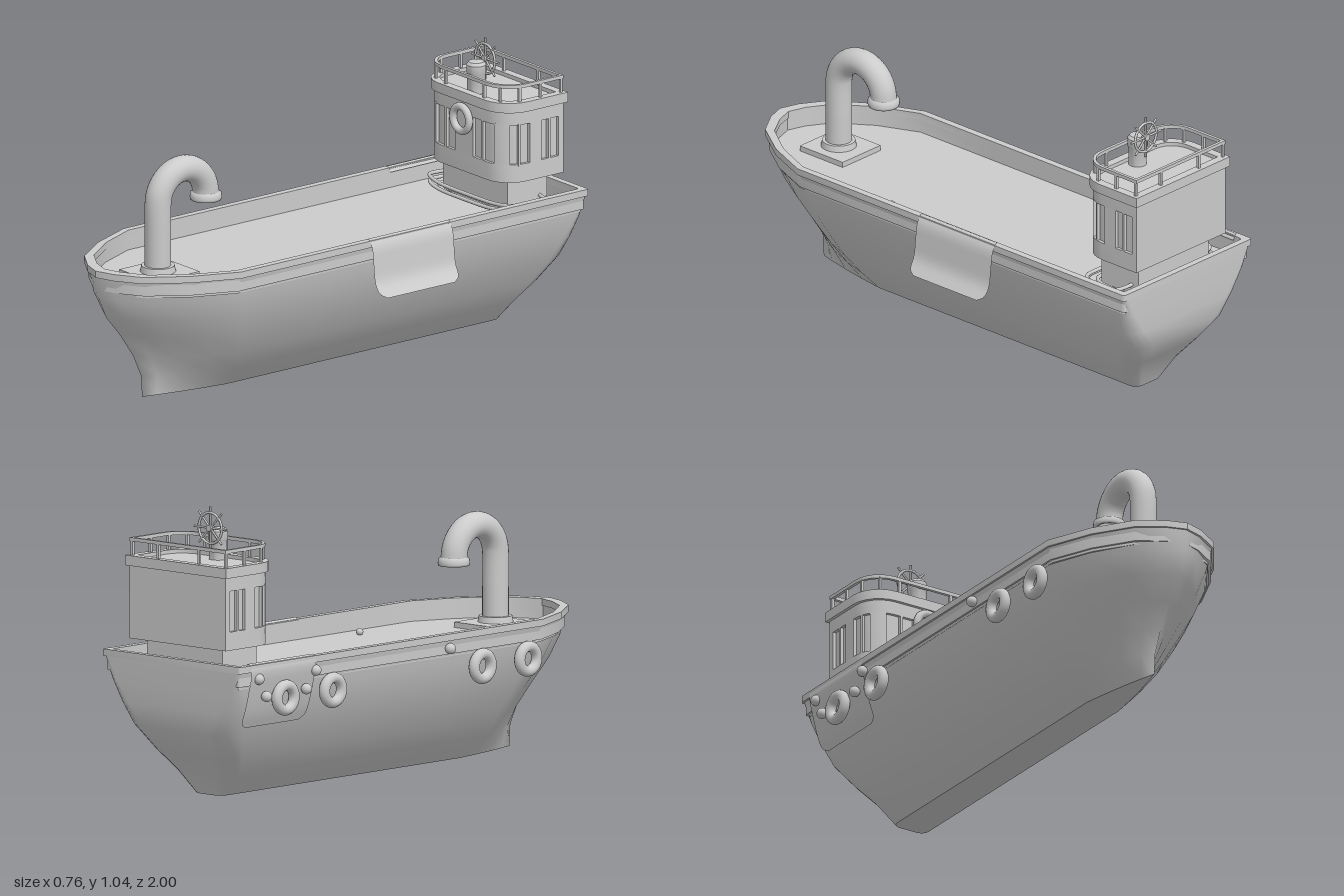
import * as THREE from 'three';
import { toCreasedNormals } from 'three/addons/utils/BufferGeometryUtils.js';

const CX = -0.022; // centreline of the hull
const DECK = 0.44;
const grey = new THREE.MeshStandardMaterial({ color: 0xcccccc });
const thin = new THREE.MeshStandardMaterial({ color: 0xcccccc, side: THREE.DoubleSide });

function add(parent, name, geo, x = 0, y = 0, z = 0, mat = grey) {
  const m = new THREE.Mesh(geo, mat);
  m.name = name;
  m.position.set(x, y, z);
  parent.add(m);
  return m;
}

// Horizontal slab from [x, z] points, with an optional hole
function slab(pts, y0, y1, hole) {
  const toV = (p) => p.map(([x, z]) => new THREE.Vector2(x, -z));
  const shape = new THREE.Shape(toV(pts));
  if (hole) shape.holes.push(new THREE.Path(toV(hole)));
  const g = new THREE.ExtrudeGeometry(shape, { depth: y1 - y0, bevelEnabled: false });
  g.rotateX(-Math.PI / 2).translate(0, y0, 0);
  return toCreasedNormals(g, 0.5);
}

function tube(points, r, closed = false, seg = 64) {
  const c = new THREE.CatmullRomCurve3(points, closed, 'centripetal');
  return new THREE.TubeGeometry(c, seg, r, 10, closed);
}

// Waterline at one level: bow, +x side, stern, -x side
const BOW = [[0, 1], [0.22, 0.94], [0.5, 0.79], [0.79, 0.43], [1, 0]];
function waterline({ w, bow, stern, shoulder, r }, sharp = 0) {
  const half = BOW.map(([f, t]) => [f * w, shoulder + (bow - shoulder) * THREE.MathUtils.lerp(t, 1 - f, sharp)]);
  for (const k of [0.25, 0.5, 0.75]) half.push([w, THREE.MathUtils.lerp(shoulder, stern + r, k)]);
  const rx = Math.min(r, w * 0.6);
  for (let k = 0; k <= 4; k++) {
    const a = (k / 4) * Math.PI / 2;
    half.push([w - rx + rx * Math.cos(a), stern + r - r * Math.sin(a)]);
  }
  const mirror = half.slice(1).reverse().map(([x, z]) => [-x, z]);
  return [...half, ...mirror].map(([x, z]) => [x + CX, z]);
}

// y, half width, bow z, stern z, stern corner radius
const LEVELS = [
  [0, 0.068, 0.785, -0.81, 0.03], [0.08, 0.14, 0.79, -0.85, 0.06], [0.16, 0.2, 0.825, -0.915, 0.08],
  [0.25, 0.25, 0.885, -0.98, 0.09], [0.33, 0.288, 0.95, -0.99, 0.07], [0.41, 0.313, 0.985, -0.995, 0.04],
  [0.5, 0.332, 0.993, -0.998, 0.012],
];

function hullGeometry() {
  const pos = [], idx = [];
  const rings = LEVELS.map(([y, w, bow, stern, r]) =>
    waterline({ w, bow, stern, r, shoulder: 0.45 + 0.3 * y }, 0.7 * (1 - y / 0.5)));
  const n = rings[0].length;
  rings.forEach((ring, j) => ring.forEach(([x, z], i) => {
    pos.push(x, LEVELS[j][0], z);
    if (j === rings.length - 1) return;
    const a = j * n + i, b = j * n + (i + 1) % n;
    idx.push(a, b, a + n, b, b + n, a + n);
  }));
  const g = new THREE.BufferGeometry();
  g.setAttribute('position', new THREE.Float32BufferAttribute(pos, 3));
  g.setIndex(idx);
  g.computeVertexNormals();
  return { g, keel: slab(rings[0], 0, 0.002) };
}

// Sheet hung over the rim: a profile in x, y swept along z with rounded lower corners
function drape(profile, z0, z1) {
  const c = new THREE.CatmullRomCurve3(profile.map(([x, y]) => new THREE.Vector3(x, y, 0)));
  const g = new THREE.PlaneGeometry(1, 1, 16, 20);
  const p = g.attributes.position;
  for (let i = 0; i < p.count; i++) {
    const v = 0.5 - p.getY(i), q = c.getPoint(v);
    const k = Math.max(0, (v - 0.85) / 0.15);
    const len = (z1 - z0) - 0.06 * (1 - Math.sqrt(1 - Math.min(1, k * k)));
    p.setXYZ(i, q.x, q.y, (z0 + z1) / 2 + p.getX(i) * len);
  }
  g.computeVertexNormals();
  return g;
}

// Cabin plan: flat front, rounded front corners, straight sides; s runs along it from the front centre
const CW = 0.235, CR = 0.1, CF = -0.695, CA = CW - CR, ARC = CR * Math.PI / 2, CS = CA + ARC + 0.17;
function edge(s, d) {
  const t = Math.abs(s), th = (t - CA) / CR;
  let p = [CW - d, CF - CR - (t - CA - ARC)];
  if (t < CA) p = [t, CF - d];
  else if (th < Math.PI / 2) p = [CA + (CR - d) * Math.sin(th), CF - CR + (CR - d) * Math.cos(th)];
  return [CX + Math.sign(s) * p[0], p[1]];
}
function run(s0, s1, d) {
  const keys = [0, 1, 2, 3, 4, 5, 6].map((k) => CA + ARC * k / 6);
  const inner = [...keys.map((k) => -k).reverse(), ...keys].filter((k) => k > s0 + 1e-4 && k < s1 - 1e-4);
  return [s0, ...inner, s1].map((s) => edge(s, d));
}
const plan = (d) => run(-(CS - d), CS - d, d);

function buildCabin(root) {
  const cabin = new THREE.Group();
  cabin.name = 'cabin';
  root.add(cabin);
  add(cabin, 'cabinBase', new THREE.BoxGeometry(0.37, 0.13, 0.18), CX, 0.5, -0.838);
  add(cabin, 'cabinCore', slab(plan(0.012), 0.561, 0.848));
  add(cabin, 'lowerWall', slab(plan(0), 0.56, 0.627));
  add(cabin, 'upperWall', slab(plan(0), 0.775, 0.83));
  add(cabin, 'roofParapet', slab(plan(-0.012), 0.825, 0.862, plan(0.02)));

  // Wall pillars left between the recessed windows
  const gaps = [[0.052, 0.099], [0.11, 0.167], [0.228, 0.258], [0.267, 0.307], [0.36, 0.392], [0.402, 0.44]];
  const stops = [0, ...gaps.flat(), CS];
  for (const side of [1, -1]) for (let i = 0; i < stops.length; i += 2) {
    const s0 = Math.max(stops[i], 1e-4), s1 = stops[i + 1];
    const [a, b] = side > 0 ? [s0, s1] : [-s1, -s0];
    add(cabin, 'windowPillar', slab([...run(a, b, 0), ...run(a, b, 0.014).reverse()], 0.62, 0.78));
  }
  add(cabin, 'backWall', new THREE.BoxGeometry(2 * CW, 0.16, 0.014), CX, 0.7, -0.958);

  // Roof railing
  add(cabin, 'handrail', slab(plan(0), 0.913, 0.926, plan(0.012)));
  const posts = [0.11, 0.19, 0.265, 0.36, CS - 0.008].flatMap((s) => [edge(s, 0.006), edge(-s, 0.006)]);
  for (const x of [-0.1, 0.1]) posts.push([CX + x, -0.959]);
  for (const [x, z] of posts) add(cabin, 'railPost', new THREE.BoxGeometry(0.01, 0.06, 0.01), x, 0.887, z);

  // Steering stand and spoked wheel
  const stand = [[0.033, 0], [0.033, 0.07], [0.036, 0.075], [0.036, 0.105], [0.028, 0.116], [0, 0.12]];
  add(cabin, 'steeringStand', toCreasedNormals(new THREE.LatheGeometry(
    stand.map(([x, y]) => new THREE.Vector2(x, y)), 24), 0.6), CX, 0.846, -0.752);
  const wheel = new THREE.Group();
  wheel.name = 'steeringWheel';
  wheel.position.set(CX, 0.965, -0.793);
  cabin.add(wheel);
  add(wheel, 'wheelRim', new THREE.TorusGeometry(0.056, 0.005, 8, 32));
  add(wheel, 'wheelHub', new THREE.CylinderGeometry(0.012, 0.012, 0.02, 16).rotateX(Math.PI / 2));
  for (let i = 0; i < 4; i++) {
    add(wheel, 'wheelSpoke', new THREE.CylinderGeometry(0.004, 0.004, 0.156, 8)).rotation.z = i * Math.PI / 4;
  }
  add(cabin, 'lifeRing', new THREE.TorusGeometry(0.046, 0.014, 12, 32), CX, 0.76, -0.682);
}

export function createModel() {
  const root = new THREE.Group();
  root.name = 'ship';

  // Hull, deck and bulwark
  const { g, keel } = hullGeometry();
  add(root, 'hull', g);
  add(root, 'keelPlate', keel);
  const line = (w, bow, stern) => waterline({ w, bow, stern, shoulder: 0.6, r: 0.01 });
  add(root, 'deck', slab(line(0.318, 0.97, -0.982), DECK - 0.01, DECK));
  add(root, 'bulwark', slab(line(0.326, 0.984, -0.99), DECK, 0.508, line(0.312, 0.962, -0.978)));
  add(root, 'rim', slab(line(0.337, 1, -1), 0.49, 0.515, line(0.31, 0.958, -0.975)));

  buildCabin(root);

  // Rope loops lying around the cabin base
  for (const [w, front, back, y] of [[0.215, -0.715, -0.945, 0.45], [0.25, -0.695, -0.93, 0.46], [0.265, -0.71, -0.9, 0.475]]) {
    const pts = [];
    for (let i = 0; i < 28; i++) {
      const a = (i / 28) * Math.PI * 2, c = Math.cos(a), s = Math.sin(a);
      const round = (v) => Math.sign(v) * Math.pow(Math.abs(v), 0.45);
      pts.push(new THREE.Vector3(CX + w * round(c), y + 0.005 * Math.sin(3 * a), (front + back) / 2 + (front - back) / 2 * round(s)));
    }
    add(root, 'ropeLoop', tube(pts, 0.007, true, 100));
  }

  // Curved ventilation pipe on the foredeck
  const pipe = [new THREE.Vector3(CX, DECK, 0.712), new THREE.Vector3(CX, 0.58, 0.712)];
  for (let i = 0; i <= 10; i++) {
    const a = (i / 10) * Math.PI;
    pipe.push(new THREE.Vector3(CX, 0.71 + 0.113 * Math.sin(a), 0.602 + 0.11 * Math.cos(a)));
  }
  add(root, 'pipePlate', new THREE.BoxGeometry(0.2, 0.02, 0.21), CX, DECK + 0.01, 0.705);
  add(root, 'pipeFlange', new THREE.CylinderGeometry(0.06, 0.065, 0.025, 32), CX, DECK + 0.03, 0.712);
  add(root, 'ventPipe', new THREE.TubeGeometry(new THREE.CatmullRomCurve3(pipe), 60, 0.048, 24), 0, 0, 0, thin);
  const lip = [[0.044, 0.004], [0.044, -0.02], [0.056, -0.022], [0.058, -0.014], [0.057, 0.002], [0.048, 0.008]];
  add(root, 'pipeLip', new THREE.LatheGeometry(lip.map(([x, y]) => new THREE.Vector2(x, y)), 32), CX, 0.71, 0.492, thin);

  // Sheets draped over the sides
  add(root, 'starboardSheet', drape([[0.285, 0.512], [0.305, 0.52], [0.325, 0.49], [0.334, 0.43], [0.345, 0.36], [0.378, 0.31]], -0.365, 0.005), 0, 0, 0, thin);
  add(root, 'portSheet', drape([[-0.325, 0.5], [-0.342, 0.52], [-0.36, 0.5], [-0.345, 0.41], [-0.322, 0.33], [-0.3, 0.28]], -0.94, -0.6), 0, 0, 0, thin);

  // Tyre fenders and round studs along the -x side
  for (const z of [-0.76, -0.51, 0.28, 0.52]) {
    add(root, 'tyreFender', new THREE.TorusGeometry(0.045, 0.02, 14, 32).rotateY(Math.PI / 2), -0.36, 0.38, z);
  }
  for (const [y, z] of [[0.462, -0.9], [0.395, -0.86], [0.4, -0.65], [0.462, -0.6], [0.462, 0.11]]) {
    add(root, 'stud', new THREE.SphereGeometry(0.02, 16, 12), -0.36, y, z);
  }
  add(root, 'deckKnob', new THREE.SphereGeometry(0.013, 16, 12), 0.205, DECK + 0.011, 0.24);
  return root;
}
